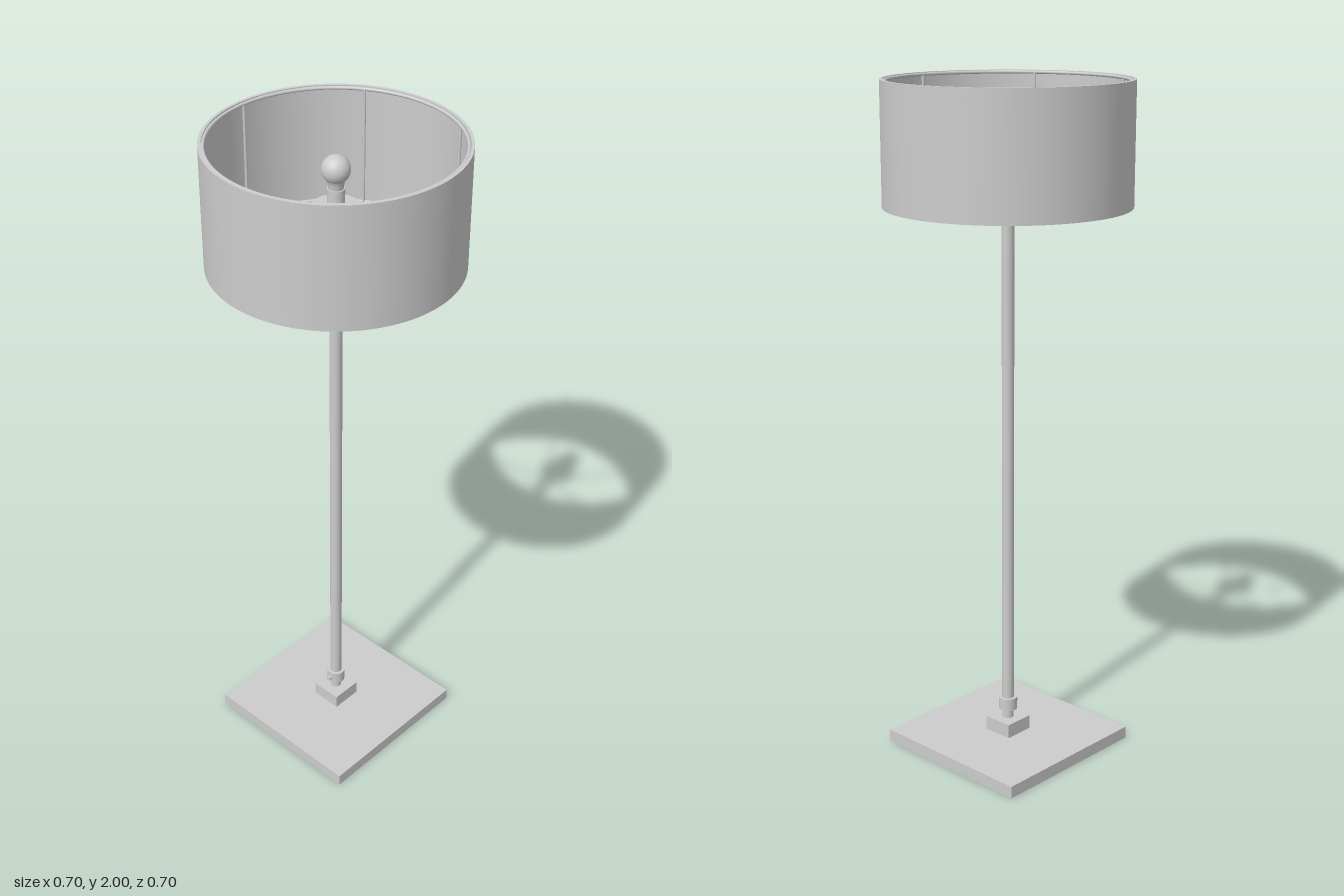
import * as THREE from 'three';

export function createModel() {
  const model = new THREE.Group();
  model.name = 'floorLamp';
  const grey = new THREE.MeshStandardMaterial({ color: 0xcccccc });
  grey.name = 'light grey';

  const add = (name, geometry, x = 0, y = 0, z = 0, parent = model) => {
    const mesh = new THREE.Mesh(geometry, grey);
    mesh.name = name;
    mesh.position.set(x, y, z);
    parent.add(mesh);
    return mesh;
  };
  // Upright cylinder between two heights
  const post = (name, r, y0, y1) =>
    add(name, new THREE.CylinderGeometry(r, r, y1 - y0, 32), 0, (y0 + y1) / 2, 0);
  // Thin wire between two points
  const wire = (name, a, b, r, parent) => {
    const mesh = add(name, new THREE.CylinderGeometry(r, r, a.distanceTo(b), 10), 0, 0, 0, parent);
    mesh.position.copy(a).add(b).multiplyScalar(0.5);
    mesh.quaternion.setFromUnitVectors(new THREE.Vector3(0, 1, 0), b.clone().sub(a).normalize());
  };

  // Foot: square plate and mounting block
  add('basePlate', new THREE.BoxGeometry(0.514, 0.037, 0.514), 0, 0.0185, 0);
  add('mountingBlock', new THREE.BoxGeometry(0.094, 0.043, 0.094), 0, 0.0585, 0);

  // Stem, collar with its set screw, and pole
  post('stem', 0.017, 0.08, 0.11);
  post('collar', 0.028, 0.108, 0.146);
  add('setScrew', new THREE.CylinderGeometry(0.008, 0.008, 0.012, 16), -0.031, 0.125, 0)
    .rotation.z = Math.PI / 2;
  post('pole', 0.018, 0.146, 1.81);

  // Lamp holder: disc, socket and bulb
  post('holderDisc', 0.065, 1.805, 1.816);
  post('socket', 0.024, 1.816, 1.866);
  const bulb = [new THREE.Vector2(0.02, 1.866), new THREE.Vector2(0.022, 1.878)];
  for (let i = 0; i <= 16; i++) {
    const a = -0.9 + (i / 16) * (Math.PI / 2 + 0.9);
    bulb.push(new THREE.Vector2(Math.max(0, 0.039 * Math.cos(a)), 1.92 + 0.039 * Math.sin(a)));
  }
  add('bulb', new THREE.LatheGeometry(bulb, 32));

  // Drum shade: an open ring extruded upward
  const drum = new THREE.Shape().absarc(0, 0, 0.352, 0, Math.PI * 2, false);
  drum.holes.push(new THREE.Path().absarc(0, 0, 0.343, 0, Math.PI * 2, true));
  const shadeGeometry = new THREE.ExtrudeGeometry(drum, { depth: 0.35, bevelEnabled: false, curveSegments: 64 });
  // Smooth the round walls, keeping the rims flat
  const pos = shadeGeometry.attributes.position;
  const normal = shadeGeometry.attributes.normal;
  for (let i = 0; i < pos.count; i++) {
    if (Math.abs(normal.getZ(i)) > 0.5) continue;
    const r = Math.hypot(pos.getX(i), pos.getY(i));
    const s = (r > 0.3475 ? 1 : -1) / r;
    normal.setXYZ(i, pos.getX(i) * s, pos.getY(i) * s, 0);
  }
  shadeGeometry.rotateX(-Math.PI / 2);
  add('shade', shadeGeometry, 0, 1.65, 0);

  // Wire frame: two rings, six sloping spokes and six uprights
  const frame = new THREE.Group();
  frame.name = 'shadeFrame';
  model.add(frame);
  for (const [name, y] of [['lowerRing', 1.656], ['upperRing', 1.994]]) {
    add(name, new THREE.TorusGeometry(0.3385, 0.005, 10, 96), 0, y, 0, frame)
      .rotation.x = Math.PI / 2;
  }
  for (let i = 0; i < 6; i++) {
    const a = Math.PI / 6 + (i * Math.PI) / 3;
    const at = (r, y) => new THREE.Vector3(r * Math.cos(a), y, r * Math.sin(a));
    wire('spoke', at(0.01, 1.715), at(0.337, 1.656), 0.004, frame);
    wire('upright', at(0.337, 1.656), at(0.337, 1.994), 0.004, frame);
  }
  return model;
}
